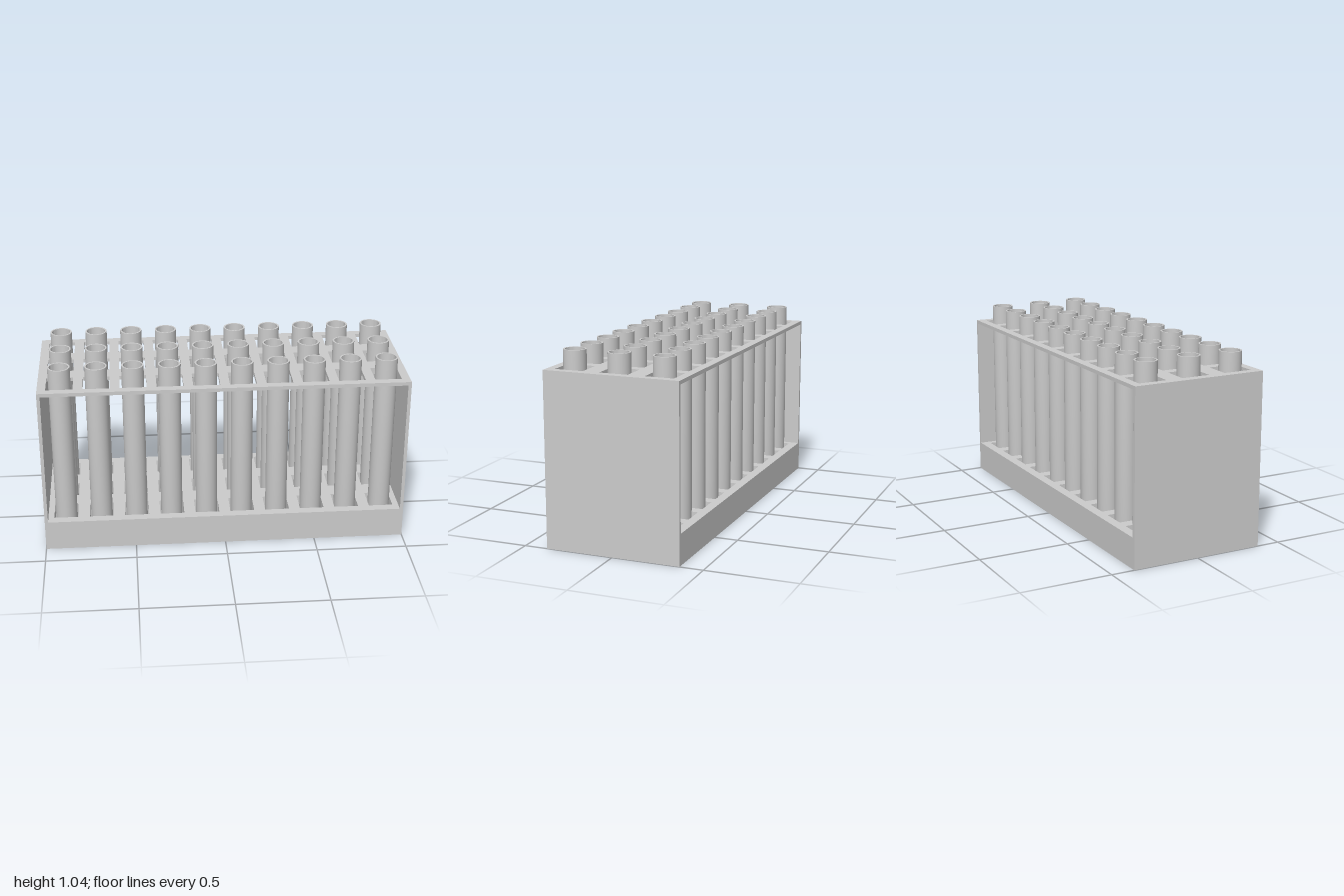
import * as THREE from 'three';
import { toCreasedNormals } from 'three/addons/utils/BufferGeometryUtils.js';

const W = 2, D = 0.744, H = 0.947, WALL = 0.018;
const FLOOR = 0.02, BASE_TOP = 0.168, TUBE_TOP = 1.045, R = 0.06;
const COLS = Array.from({ length: 10 }, (_, i) => (i - 4.5) * 0.196);
const ROWS = [-0.248, 0, 0.248];

// Horizontal slab pierced by the grid of rectangular holes
function gridPlate(width, holeX, holeZ, y0, y1) {
  const rect = (path, cx, cy, w, h) => {
    path.moveTo(cx - w / 2, cy - h / 2);
    path.lineTo(cx + w / 2, cy - h / 2);
    path.lineTo(cx + w / 2, cy + h / 2);
    path.lineTo(cx - w / 2, cy + h / 2);
    path.closePath();
    return path;
  };
  const shape = rect(new THREE.Shape(), 0, 0, width, D);
  for (const x of COLS) for (const z of ROWS) {
    shape.holes.push(rect(new THREE.Path(), x, z, holeX, holeZ));
  }
  const geo = new THREE.ExtrudeGeometry(shape, { depth: y1 - y0, bevelEnabled: false });
  return geo.rotateX(-Math.PI / 2).translate(0, y0, 0);
}

// Hollow round-bottomed tube: up the outside, over the rim, down the inside
function tubeGeometry() {
  const inner = 0.051, steps = 6, cy = FLOOR + R, pts = [];
  for (let i = 0; i <= steps; i++) {
    const a = (i / steps) * Math.PI / 2;
    pts.push(new THREE.Vector2(R * Math.sin(a), cy - R * Math.cos(a)));
  }
  pts.push(new THREE.Vector2(R, TUBE_TOP), new THREE.Vector2(inner, TUBE_TOP));
  for (let i = steps; i >= 0; i--) {
    const a = (i / steps) * Math.PI / 2;
    pts.push(new THREE.Vector2(inner * Math.sin(a), cy - inner * Math.cos(a)));
  }
  return toCreasedNormals(new THREE.LatheGeometry(pts, 28), 0.7);
}

export function createModel() {
  const model = new THREE.Group();
  model.name = 'tubeRack';
  const material = new THREE.MeshStandardMaterial({ color: 0xcccccc });
  const add = (name, geo, x = 0, y = 0, z = 0, parent = model) => {
    const mesh = new THREE.Mesh(geo, material);
    mesh.name = name;
    mesh.position.set(x, y, z);
    parent.add(mesh);
  };

  // Rack: floor, pocketed base, pierced top plate and two end walls
  const innerW = W - 2 * WALL;
  add('baseFloor', new THREE.BoxGeometry(innerW, FLOOR, D), 0, FLOOR / 2);
  add('basePockets', gridPlate(innerW, 0.134, 0.146, FLOOR, BASE_TOP));
  add('topPlate', gridPlate(innerW, 0.144, 0.156, H - 0.02, H));
  for (const [name, side] of [['leftWall', 1], ['rightWall', -1]]) {
    add(name, new THREE.BoxGeometry(WALL, H, D), side * (W - WALL) / 2, H / 2);
  }

  // Ten columns by three rows of tubes
  const tubes = new THREE.Group();
  tubes.name = 'tubes';
  model.add(tubes);
  const tube = tubeGeometry();
  for (const z of ROWS) for (const x of COLS) add('tube', tube, x, 0, z, tubes);

  return model;
}
